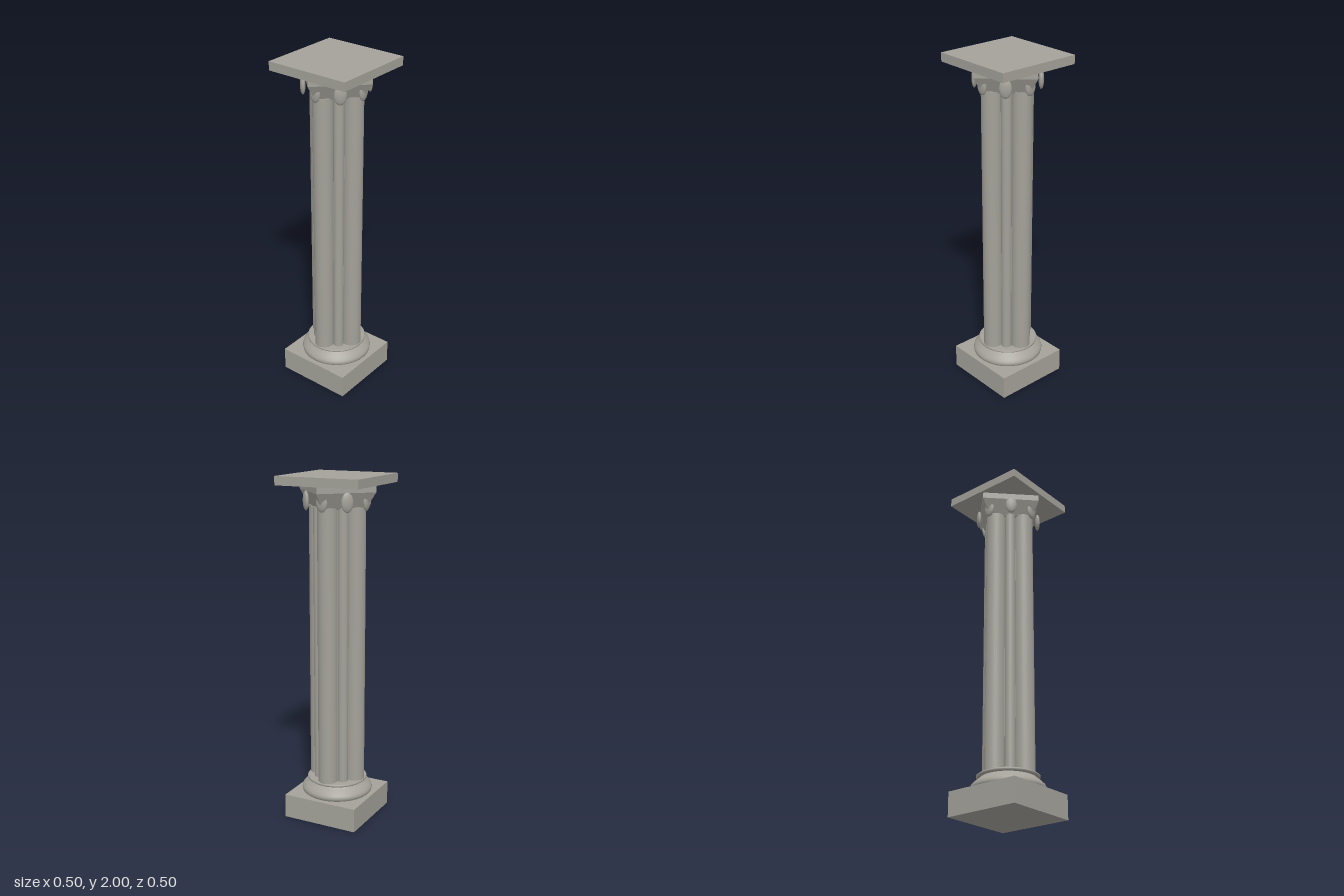
import * as THREE from 'three';

export function createModel() {
  const column = new THREE.Group();
  column.name = 'column';
  const stone = new THREE.MeshStandardMaterial({ color: 0xa3a199 });
  stone.name = 'greyStone';

  const add = (name, geometry, x, y, z) => {
    const mesh = new THREE.Mesh(geometry, stone);
    mesh.name = name;
    mesh.position.set(x, y, z);
    column.add(mesh);
    return mesh;
  };
  // Upright cylinder between two heights
  const drum = (name, r, y0, y1, x = 0, z = 0, sides = 32) =>
    add(name, new THREE.CylinderGeometry(r, r, y1 - y0, sides), x, (y0 + y1) / 2, z);

  // Square plinth and top slab
  add('plinth', new THREE.BoxGeometry(0.455, 0.14, 0.455), 0, 0.07, 0);
  add('topSlab', new THREE.BoxGeometry(0.502, 0.05, 0.502), 0, 1.975, 0);

  // Round base moulding
  const profile = [[0.195, 0.138], [0.206, 0.147], [0.208, 0.16], [0.204, 0.174],
    [0.19, 0.188], [0.172, 0.203], [0.16, 0.212], [0.155, 0.222]]
    .map(([r, y]) => new THREE.Vector2(r, y));
  add('baseMoulding', new THREE.LatheGeometry(profile, 48), 0, 0, 0);
  add('baseRing', new THREE.LatheGeometry([[0.0001, 0.217], [0.168, 0.217], [0.175, 0.222],
    [0.175, 0.23], [0.168, 0.235], [0.0001, 0.235]]
    .map(([r, y]) => new THREE.Vector2(r, y)), 48), 0, 0, 0);

  // Clustered shaft: core, four wide shafts on the axes, four thin ones between
  drum('shaftCore', 0.112, 0.22, 1.83);
  for (let i = 0; i < 8; i++) {
    const a = i * Math.PI / 4;
    const wide = i % 2 === 0;
    const d = wide ? 0.115 : 0.108;
    drum(wide ? 'wideShaft' : 'thinShaft', wide ? 0.057 : 0.03, 0.22, 1.83,
      Math.sin(a) * d, Math.cos(a) * d);
  }

  // Four-sided flared capital with its corners on the axes
  const flare = new THREE.CylinderGeometry(0.238, 0.175, 0.093, 4).toNonIndexed();
  flare.computeVertexNormals();
  add('capitalFlare', flare, 0, 1.8665, 0);
  const block = new THREE.CylinderGeometry(0.238, 0.238, 0.038, 4).toNonIndexed();
  block.computeVertexNormals();
  add('capitalBlock', block, 0, 1.932, 0);

  // Ring of flat oval ornaments around the capital
  const oval = new THREE.SphereGeometry(1, 24, 16).scale(0.034, 0.054, 0.015);
  for (let i = 0; i < 8; i++) {
    const a = i * Math.PI / 4;
    add('ovalOrnament', oval, Math.sin(a) * 0.18, 1.864, Math.cos(a) * 0.18).rotation.y = a;
  }
  return column;
}
